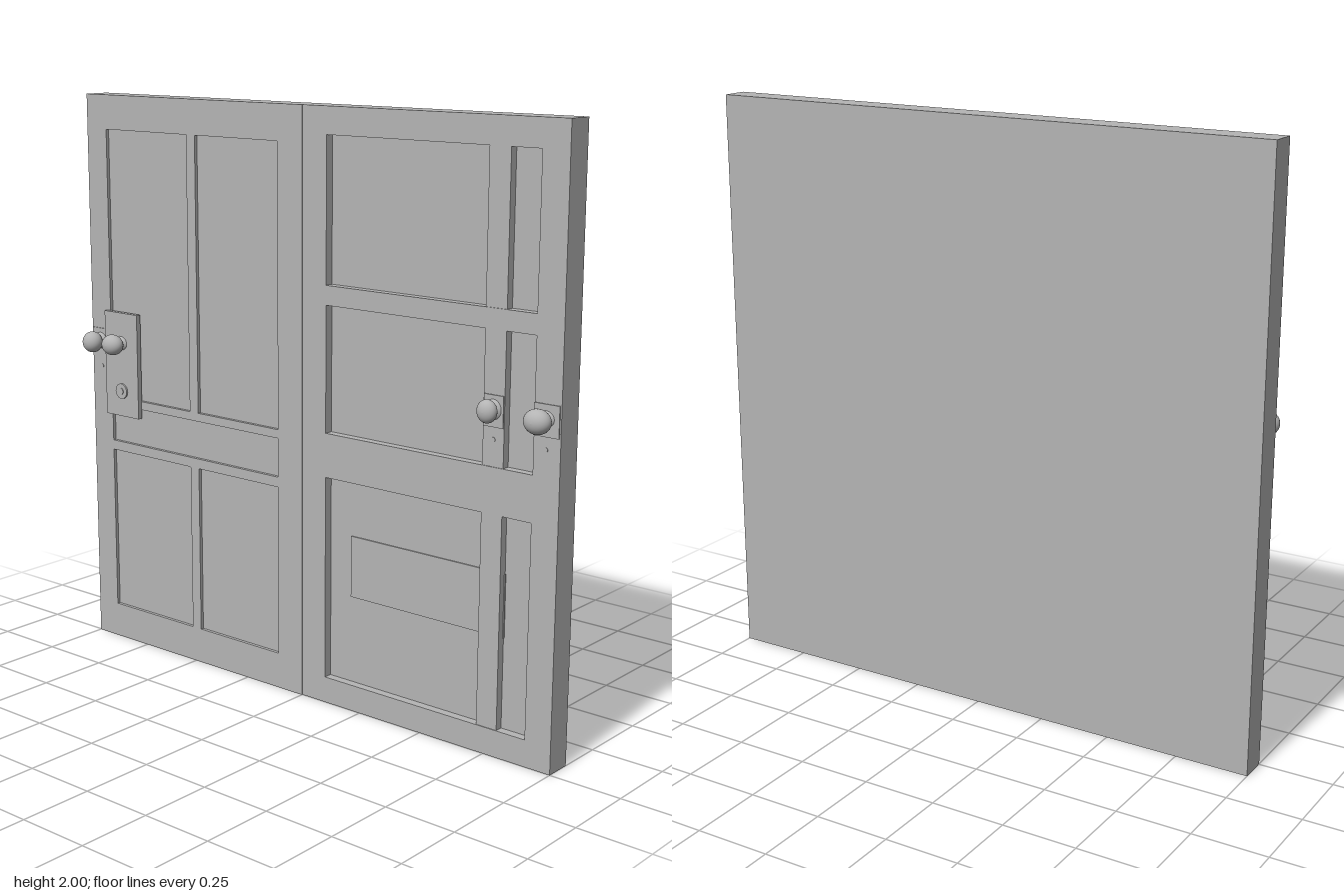
import * as THREE from 'three';

const BACK = -0.092;

export function createModel() {
  const model = new THREE.Group();
  model.name = 'doorPair';
  const grey = new THREE.MeshStandardMaterial({ color: 0xb4b4b4 });
  grey.name = 'plain grey';

  const add = (name, geometry) => {
    const mesh = new THREE.Mesh(geometry, grey);
    mesh.name = name;
    model.add(mesh);
    return mesh;
  };

  // Box given by its limits on each axis
  const box = (name, x0, x1, y0, y1, z0, z1) =>
    add(name, new THREE.BoxGeometry(x1 - x0, y1 - y0, z1 - z0))
      .position.set((x0 + x1) / 2, (y0 + y1) / 2, (z0 + z1) / 2);

  const rectangle = (path, x0, x1, y0, y1) => {
    path.moveTo(x0, y0);
    path.lineTo(x1, y0);
    path.lineTo(x1, y1);
    path.lineTo(x0, y1);
    path.closePath();
    return path;
  };

  // Door leaf: solid core behind a frame with rectangular recesses
  const leaf = (name, x0, x1, front, depth, recesses) => {
    box(name + 'Core', x0, x1, 0, 2, BACK, front - depth);
    const shape = rectangle(new THREE.Shape(), x0, x1, 0, 2);
    for (const r of recesses) shape.holes.push(rectangle(new THREE.Path(), ...r));
    add(name + 'Frame', new THREE.ExtrudeGeometry(shape, { depth, bevelEnabled: false }))
      .position.z = front - depth;
  };

  leaf('panelDoor', -1, 0, 0.003, 0.012, [
    [-0.905, -0.515, 0.92, 1.88], [-0.475, -0.105, 0.92, 1.88],
    [-0.905, -0.105, 0.755, 0.89],
    [-0.905, -0.515, 0.125, 0.72], [-0.475, -0.105, 0.125, 0.72],
  ]);

  const rows = [[0.09, 0.79], [0.94, 1.365], [1.43, 1.91]];
  leaf('barredDoor', 0, 1, 0, 0.03, rows.map(([a, b]) => [0.1, 0.905, a, b]));

  // Upright bar crossing each recess, and the low letter plate behind it
  for (const [a, b] of rows) box('uprightBar', 0.72, 0.797, a, b, -0.03, -0.003);
  box('letterPlate', 0.19, 0.8, 0.39, 0.6, -0.03, -0.025);

  // Round knob with a flared collar, turned about z
  const knob = (name, x, y, z0, z1, rx, ry) => {
    const profile = [[0.03, 0], [0.027, 0.005], [0.016, 0.012]];
    const length = z1 - z0;
    const half = Math.min(0.035, (length - 0.008) / 2);
    const steps = 14;
    for (let i = 0; i <= steps; i++) {
      const a = -1.1 + (i / steps) * (Math.PI / 2 + 1.1);
      profile.push([Math.max(0, rx * Math.cos(a)), length - half + half * Math.sin(a)]);
    }
    const points = profile.map(([r, h]) => new THREE.Vector2(r, h));
    const geometry = new THREE.LatheGeometry(points, 28).rotateX(Math.PI / 2);
    geometry.scale(1, ry / rx, 1);
    add(name, geometry).position.set(x, y, z0);
  };

  // Disc facing forward, for keyholes and lock cylinders
  const disc = (name, x, y, z0, z1, r) =>
    add(name, new THREE.CylinderGeometry(r, r, z1 - z0, 24).rotateX(Math.PI / 2))
      .position.set(x, y, (z0 + z1) / 2);

  // Large lock plate with knob and lock cylinder
  box('lockPlate', -0.92, -0.757, 0.857, 1.235, 0, 0.018);
  knob('lockKnob', -0.84, 1.125, 0.018, 0.092, 0.044, 0.037);
  disc('lockCylinder', -0.838, 0.95, 0.017, 0.024, 0.028);
  disc('lockCore', -0.838, 0.95, 0.023, 0.027, 0.012);

  // Small plates with knobs and keyholes
  const small = [
    ['outerLeft', -0.995, -0.92, -0.955, 0.003, 0.082, 0.038, 0.038],
    ['bar', 0.723, 0.795, 0.758, -0.003, 0.06, 0.034, 0.037],
    ['outerRight', 0.905, 0.995, 0.948, 0, 0.085, 0.045, 0.039],
  ];
  for (const [name, x0, x1, x, z, tip, rx, ry] of small) {
    box(name + 'KnobPlate', x0, x1, 1.065, 1.165, z - 0.002, z + 0.004);
    knob(name + 'Knob', x, 1.12, z + 0.003, tip, rx, ry);
    disc(name + 'Keyhole', x, 1.025, z - 0.002, z + 0.002, 0.008);
  }

  return model;
}
